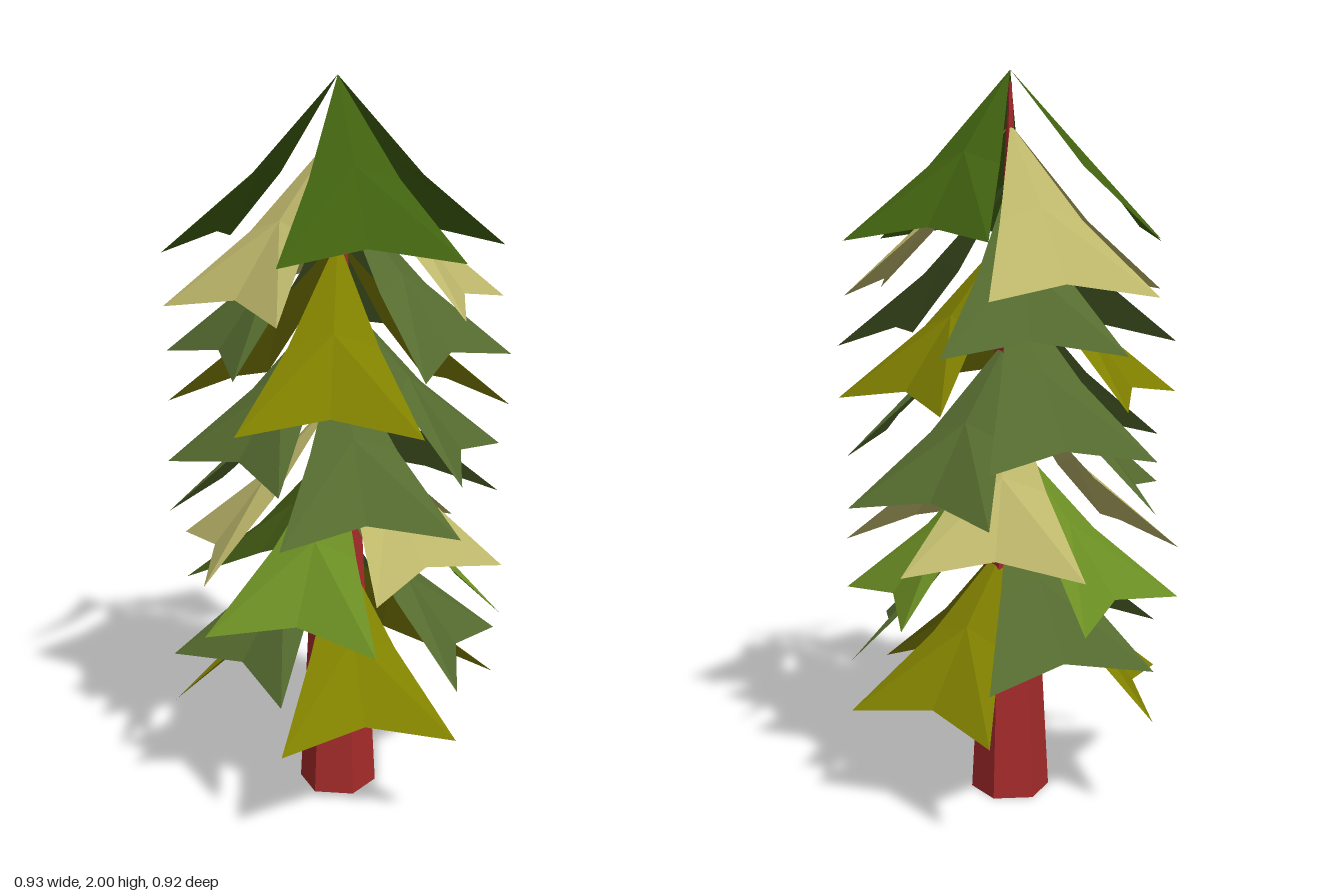
import * as THREE from 'three';

const RAD = Math.PI / 180;

// One drooping bough: a point at the trunk, a bent middle row and two outer tips with a notch between.
// Points are [radius, angle from the bough's centre line in degrees, drop below the apex].
function boughGeometry() {
  const points = [
    [0, 0, 0],
    [0.234, -30, 0.255], [0.2, 0, 0.22], [0.234, 30, 0.255],
    [0.468, -30, 0.445], [0.347, 0, 0.41], [0.468, 30, 0.445],
  ];
  const positions = points.flatMap(([r, a, drop]) => [r * Math.cos(a * RAD), -drop, -r * Math.sin(a * RAD)]);
  const geometry = new THREE.BufferGeometry();
  geometry.setAttribute('position', new THREE.Float32BufferAttribute(positions, 3));
  geometry.setIndex([0, 1, 2, 0, 2, 3, 1, 4, 2, 4, 5, 2, 2, 5, 6, 2, 6, 3]);
  geometry.computeVertexNormals();
  return geometry;
}

function foliageMaterial(color) {
  return new THREE.MeshStandardMaterial({ color, flatShading: true, side: THREE.DoubleSide });
}

export function createModel() {
  const tree = new THREE.Group();
  tree.name = 'tree';

  // Six-sided tapering trunk
  const trunk = new THREE.Mesh(
    new THREE.CylinderGeometry(0.004, 0.11, 1.97, 6),
    new THREE.MeshStandardMaterial({ color: 0xa52a2a, flatShading: true })
  );
  trunk.name = 'trunk';
  trunk.position.y = 0.985;
  trunk.rotation.y = 30 * RAD;
  tree.add(trunk);

  const deepGreen = foliageMaterial(0x40610f);
  const khaki = foliageMaterial(0xbdb76b);
  const mossGreen = foliageMaterial(0x556b2f);
  const olive = foliageMaterial(0x808000);
  const leafGreen = foliageMaterial(0x6b8e23);

  // Layers from top to bottom: colour and heading of the first bough
  const layers = [
    [deepGreen, 48.8], [khaki, 108.8],
    [mossGreen, 93.8], [olive, 33.8],
    [mossGreen, 108.8], [mossGreen, 48.8],
    [khaki, 78.8], [leafGreen, 18.8],
    [mossGreen, 108.8], [olive, 48.8],
  ];
  const geometry = boughGeometry();
  layers.forEach(([material, heading], i) => {
    const layer = new THREE.Group();
    layer.name = `foliageLayer${i + 1}`;
    layer.position.y = 2 - i * 0.14;
    for (let k = 0; k < 3; k++) {
      const bough = new THREE.Mesh(geometry, material);
      bough.name = 'bough';
      bough.rotation.y = (heading + k * 120) * RAD;
      layer.add(bough);
    }
    tree.add(layer);
  });

  return tree;
}
